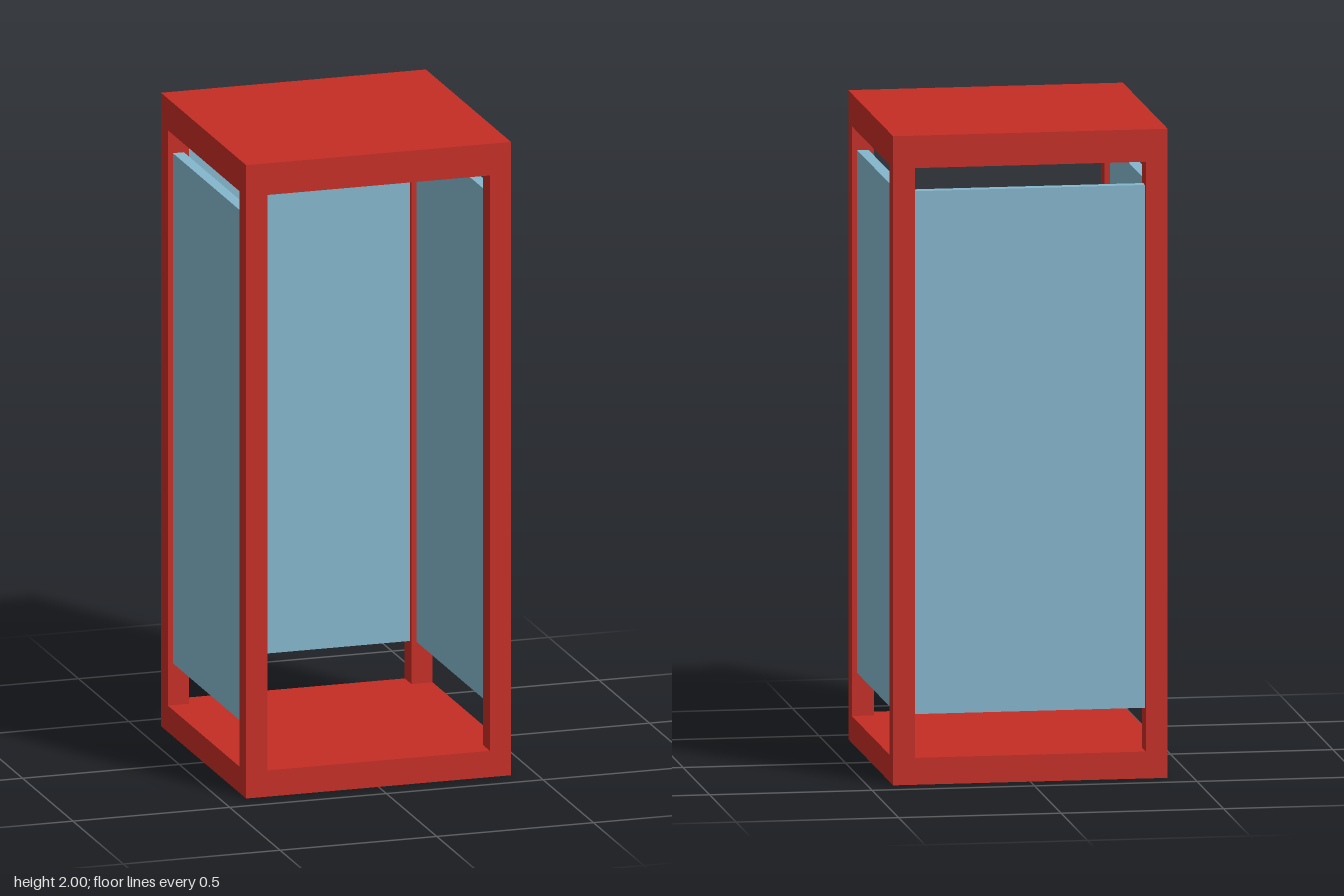
import * as THREE from 'three';

const HALF = 0.4225;   // half width of the booth
const POST = 0.0675;   // post thickness
const FLOOR = 0.083;   // top of the base slab
const CEILING = 1.9;   // underside of the roof slab
const PANE = { width: 2 * (HALF - POST), bottom: 0.215, top: 1.826, depth: 0.035 };

export function createModel() {
  const group = new THREE.Group();
  group.name = 'booth';

  const red = new THREE.MeshStandardMaterial({ color: 0xc42d24 });
  red.name = 'red paint';
  const blue = new THREE.MeshStandardMaterial({ color: 0x84b6cd });
  blue.name = 'blue glass';

  // Box spanning y0..y1, centred at x, z
  const addBox = (name, material, w, d, y0, y1, x = 0, z = 0) => {
    const mesh = new THREE.Mesh(new THREE.BoxGeometry(w, y1 - y0, d), material);
    mesh.name = name;
    mesh.position.set(x, (y0 + y1) / 2, z);
    group.add(mesh);
    return mesh;
  };

  // Base and roof slabs
  addBox('base', red, 2 * HALF, 2 * HALF, 0, FLOOR);
  addBox('roof', red, 2 * HALF, 2 * HALF, CEILING, 2);

  // Corner posts
  const c = HALF - POST / 2;
  for (const [sx, side] of [[1, 'Left'], [-1, 'Right']]) {
    for (const [sz, end] of [[1, 'front'], [-1, 'back']]) {
      addBox(`${end}${side}Post`, red, POST, POST, FLOOR, CEILING, sx * c, sz * c);
    }
  }

  // Glass panes on three sides; the front stays open as the doorway
  addBox('leftPane', blue, PANE.depth, PANE.width, PANE.bottom, PANE.top, c, 0);
  addBox('rightPane', blue, PANE.depth, PANE.width, PANE.bottom, PANE.top, -c, 0);
  addBox('backPane', blue, PANE.width, PANE.depth, PANE.bottom, PANE.top, 0, -c);

  return group;
}
